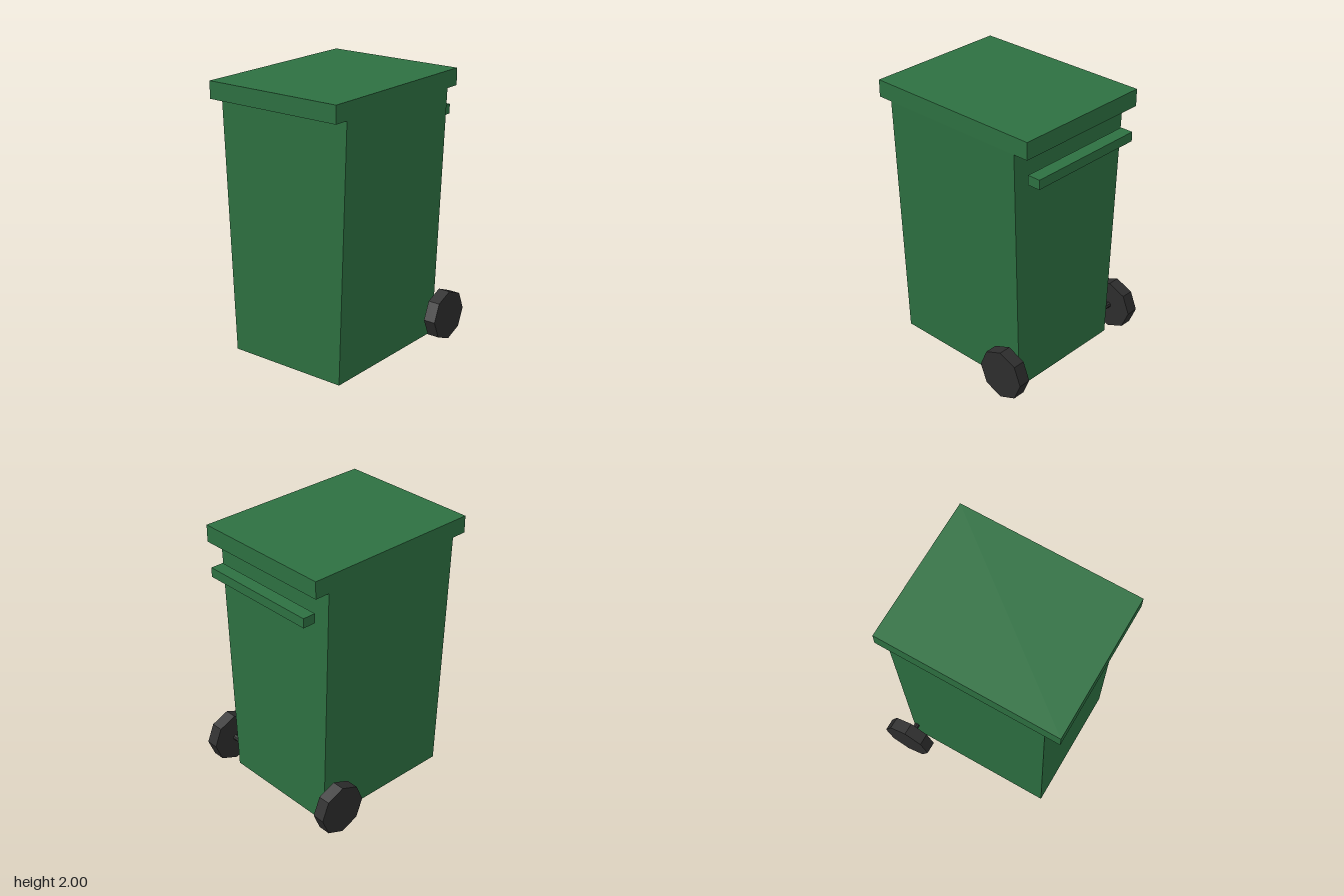
import * as THREE from 'three';

export function createModel() {
  const bin = new THREE.Group();
  bin.name = 'wheeledBin';
  const green = new THREE.MeshStandardMaterial({ name: 'binGreen', color: 0x2d7041, flatShading: true });
  const black = new THREE.MeshStandardMaterial({ name: 'wheelBlack', color: 0x2d2d2d, flatShading: true });

  function add(name, geometry, material, x, y, z) {
    const mesh = new THREE.Mesh(geometry, material);
    mesh.name = name;
    mesh.position.set(x, y, z);
    bin.add(mesh);
    return mesh;
  }

  // Body: a box narrowed towards the base
  const height = 1.875;
  const bodyGeometry = new THREE.BoxGeometry(1.078, height, 1.14);
  const p = bodyGeometry.attributes.position;
  for (let i = 0; i < p.count; i++) {
    if (p.getY(i) < 0) {
      p.setX(i, p.getX(i) * 0.87);
      p.setZ(i, p.getZ(i) * 0.985);
    }
  }
  bodyGeometry.computeVertexNormals();
  add('body', bodyGeometry, green, 0, height / 2, 0.02);

  // Overhanging lid and rear handle bar
  add('lid', new THREE.BoxGeometry(1.082, 0.125, 1.365), green, 0, 1.9375, 0.02);
  add('handle', new THREE.BoxGeometry(0.93, 0.07, 0.096), green, 0, 1.686, -0.652);

  // Axle and a pair of eight-sided wheels
  const axleY = 0.187, axleZ = -0.514;
  add('axle', new THREE.CylinderGeometry(0.021, 0.021, 1.1, 8).rotateZ(Math.PI / 2), black, 0, axleY, axleZ);
  const wheelGeometry = new THREE.CylinderGeometry(0.187, 0.187, 0.092, 8).rotateZ(Math.PI / 2);
  for (const side of [-1, 1]) {
    add(side > 0 ? 'leftWheel' : 'rightWheel', wheelGeometry, black, side * 0.587, axleY, axleZ);
  }

  return bin;
}
